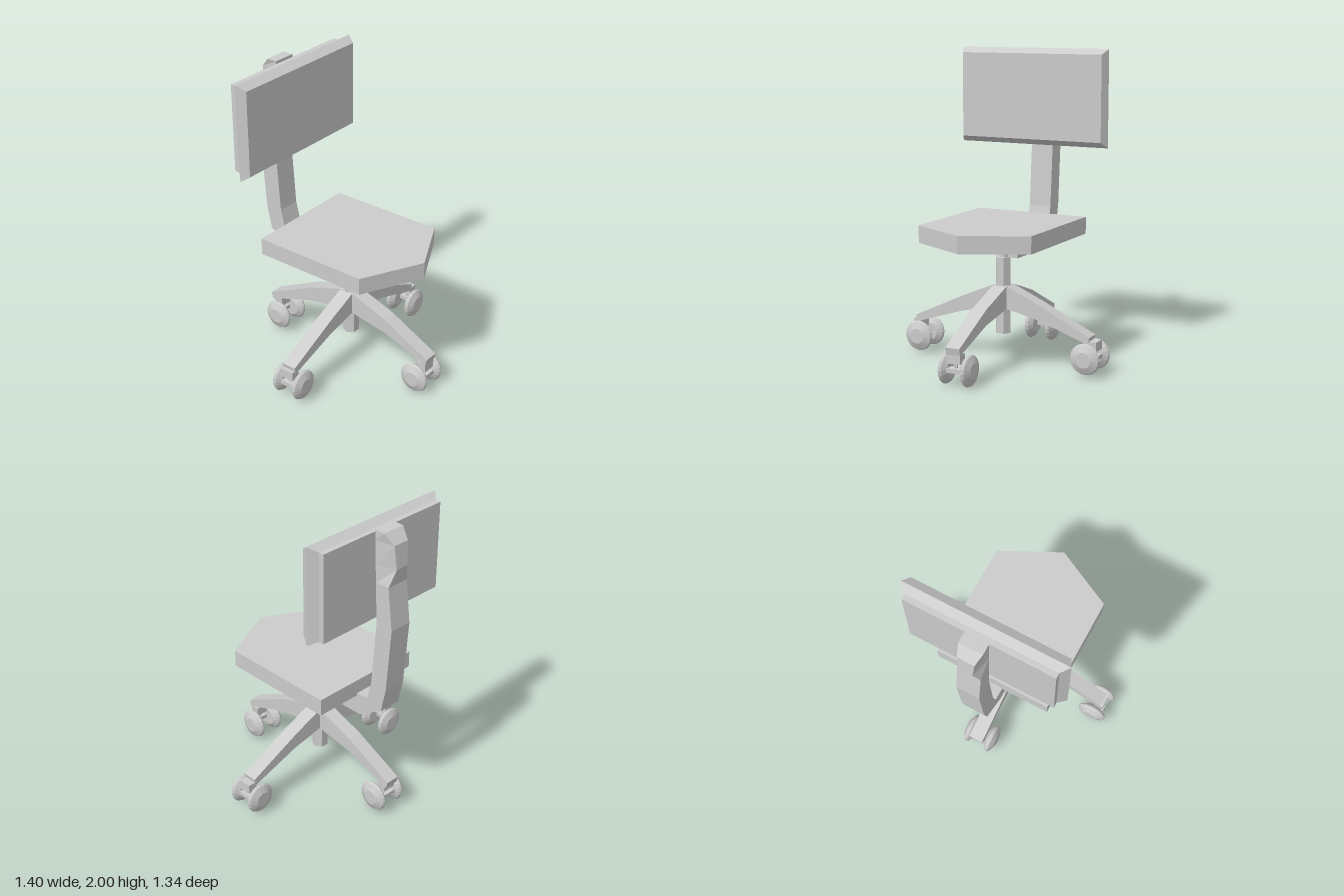
import * as THREE from 'three';

const material = new THREE.MeshStandardMaterial({ color: 0xcccccc, flatShading: true });
const CX = -0.018; // x of the chair's centre line

function add(parent, name, geometry, x = 0, y = 0, z = 0) {
  const mesh = new THREE.Mesh(geometry, material);
  mesh.name = name;
  mesh.position.set(x, y, z);
  parent.add(mesh);
  return mesh;
}

// Solid through matching rings, each counter-clockwise about the direction of travel
function loft(rings) {
  const pos = [];
  const tri = (a, b, c) => pos.push(...a, ...b, ...c);
  const n = rings[0].length;
  const first = rings[0], last = rings[rings.length - 1];
  for (let r = 0; r < rings.length - 1; r++) {
    const a = rings[r], b = rings[r + 1];
    for (let i = 0; i < n; i++) {
      const j = (i + 1) % n;
      tri(a[i], a[j], b[j]);
      tri(a[i], b[j], b[i]);
    }
  }
  for (let i = 1; i < n - 1; i++) {
    tri(first[0], first[i + 1], first[i]);
    tri(last[0], last[i], last[i + 1]);
  }
  const g = new THREE.BufferGeometry();
  g.setAttribute('position', new THREE.Float32BufferAttribute(pos, 3));
  g.computeVertexNormals();
  return g;
}

// Rectangle in the xy plane at depth z
const rect = (z, w, y0, y1) => [[-w, y0, z], [w, y0, z], [w, y1, z], [-w, y1, z]];

function hexPrism(radius, y0, y1) {
  return new THREE.CylinderGeometry(radius, radius, y1 - y0, 6).rotateY(Math.PI / 2).translate(0, (y0 + y1) / 2, 0);
}

// Bent bracket and upright: inner z, inner y, outer z, outer y, outer half width
function spineGeometry() {
  const w = 0.077;
  const sections = [
    [-0.05, 0.81, -0.05, 0.68, w],
    [-0.40, 0.825, -0.43, 0.68, w],
    [-0.49, 0.83, -0.605, 0.79, w],
    [-0.52, 0.95, -0.64, 0.955, w],
    [-0.55, 1.38, -0.67, 1.38, w],
    [-0.537, 1.655, -0.635, 1.655, w],
    [-0.53, 1.77, -0.665, 1.77, 0.045],
    [-0.523, 1.92, -0.65, 1.92, 0.055],
    [-0.52, 1.985, -0.59, 1.985, w],
  ];
  return loft(sections.map(([iz, iy, oz, oy, ow]) =>
    [[-ow, oy, oz], [-w, iy, iz], [w, iy, iz], [ow, oy, oz]]));
}

// Lens-shaped wheel, axis along x, outer face on +x
function wheelGeometry() {
  const profile = [[0, -0.035], [0.06, -0.035], [0.094, -0.012], [0.1, 0], [0.094, 0.012], [0.05, 0.033], [0, 0.033]];
  return new THREE.LatheGeometry(profile.map(([r, h]) => new THREE.Vector2(r, h)), 20).rotateZ(-Math.PI / 2);
}

// One spoke of the base with its twin-wheel caster, pointing along +z
function baseArm(name, midReach, reach, wheelReach, wheelY) {
  const arm = new THREE.Group();
  arm.name = name;
  add(arm, 'leg', loft([
    rect(0.02, 0.048, 0.36, 0.515),
    rect(0.055, 0.048, 0.365, 0.51),
    rect(midReach, 0.048, 0.32, 0.42),
    [[-0.048, 0.205, reach - 0.01], [0.048, 0.205, reach - 0.01], [0.048, 0.25, reach], [-0.048, 0.25, reach]],
  ]));
  const caster = new THREE.Group();
  caster.name = 'caster';
  caster.position.set(0, wheelY, wheelReach);
  arm.add(caster);
  add(caster, 'casterBlock', new THREE.BoxGeometry(0.09, 0.06, 0.06), 0, 0.075, 0.03);
  add(caster, 'casterPin', new THREE.CylinderGeometry(0.012, 0.012, 0.07, 6), 0, 0.03, 0.03);
  add(caster, 'axlePlate', new THREE.BoxGeometry(0.16, 0.028, 0.06), 0, 0.002, 0.035);
  const wheel = wheelGeometry();
  for (const side of [-1, 1]) {
    const mesh = add(caster, side > 0 ? 'leftWheel' : 'rightWheel', wheel, side * 0.078, 0, 0);
    if (side < 0) mesh.rotation.y = Math.PI;
  }
  return arm;
}

export function createModel() {
  const chair = new THREE.Group();
  chair.name = 'officeChair';

  // Base: four spokes around a hexagonal column
  const arms = [
    ['frontArm', 0.31, 0.645, 0.573, 0.104],
    ['leftArm', 0.27, 0.625, 0.61, 0.12],
    ['backArm', 0.31, 0.655, 0.568, 0.12],
    ['rightArm', 0.27, 0.63, 0.59, 0.12],
  ];
  arms.forEach((spec, i) => {
    const arm = baseArm(...spec);
    arm.position.x = CX;
    arm.rotation.y = i * Math.PI / 2;
    chair.add(arm);
  });
  add(chair, 'column', hexPrism(0.053, 0.2, 0.695), CX);
  add(chair, 'liftRod', hexPrism(0.028, 0.68, 0.82), CX + 0.008);

  // Seat with a pointed front edge
  const outline = [[-0.393, -0.405], [-0.393, 0.375], [0, 0.573], [0.393, 0.375], [0.393, -0.405]];
  add(chair, 'seat', loft([0.81, 0.92].map((y) => outline.map(([x, z]) => [x, y, z]))), CX - 0.004);

  // Back support and bevelled backrest
  add(chair, 'backSupport', spineGeometry(), CX);
  add(chair, 'backrest', loft([
    rect(-0.515, 0.483, 1.4, 1.97),
    rect(-0.48, 0.483, 1.4, 1.97),
    rect(-0.43, 0.53, 1.37, 2.0),
    rect(-0.375, 0.503, 1.408, 1.965),
  ]), CX - 0.004);

  return chair;
}
